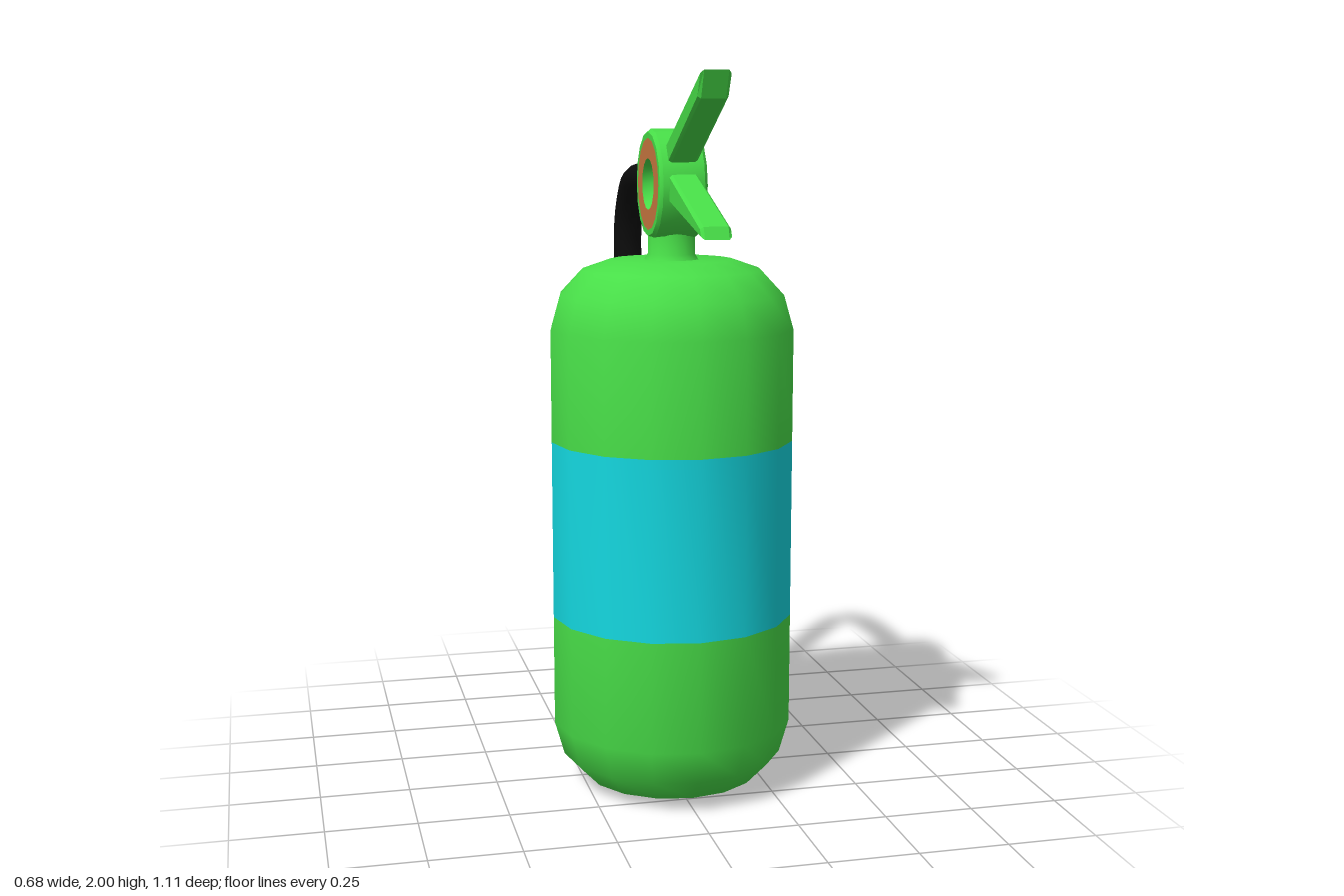
import * as THREE from 'three';
import { toCreasedNormals } from 'three/addons/utils/BufferGeometryUtils.js';

const GREEN = 0x48de48, CYAN = 0x14d8e0, ORANGE = 0xc87840, BLACK = 0x0c0c0c;
const AXIS_Z = 0.065, HEAD_Y = 1.705, SIDES = 16;

function part(name, geometry, color) {
  const mesh = new THREE.Mesh(geometry, new THREE.MeshStandardMaterial({ color }));
  mesh.name = name;
  return mesh;
}

// Turned part from [radius, height] pairs, listed bottom to top
function turned(name, profile, color, crease = 0.75) {
  const points = profile.map(([r, y]) => new THREE.Vector2(r, y));
  return part(name, toCreasedNormals(new THREE.LatheGeometry(points, SIDES), crease), color);
}

// Flat lever with small bevels, outlined in the z-y plane
function lever(name, outline) {
  const bevel = 0.008, width = 0.08;
  const shape = new THREE.Shape(outline.map(([z, y]) => new THREE.Vector2(z, y)));
  const geometry = new THREE.ExtrudeGeometry(shape, {
    depth: width - 2 * bevel, bevelThickness: bevel, bevelSize: bevel,
    bevelOffset: -bevel, bevelSegments: 1,
  });
  geometry.translate(0, 0, bevel - width / 2).rotateY(-Math.PI / 2);
  return part(name, geometry, GREEN);
}

export function createModel() {
  const model = new THREE.Group();
  model.name = 'fireExtinguisher';

  // Tank: rounded ends and a coloured band
  const tank = new THREE.Group();
  tank.name = 'tank';
  tank.position.z = AXIS_Z;
  tank.add(
    turned('tankBottom', [[0, 0], [0.17, 0], [0.25, 0.028], [0.313, 0.095], [0.34, 0.19], [0.34, 0.5]], GREEN),
    turned('tankBand', [[0.34, 0.5], [0.34, 1]], CYAN),
    turned('tankTop', [[0.34, 1], [0.34, 1.31], [0.313, 1.405], [0.25, 1.472], [0.17, 1.5], [0, 1.5]], GREEN),
    turned('neck', [[0.078, 1.495], [0.066, 1.515], [0.066, 1.6]], GREEN),
  );
  model.add(tank);

  // Valve head: drum lying across x, with a ring and a recess on both sides
  const head = new THREE.Group();
  head.name = 'valveHead';
  head.position.set(0, HEAD_Y, AXIS_Z);
  head.rotation.z = -Math.PI / 2;
  const rim = [[0.125, -0.066], [0.141, -0.066], [0.15, -0.057], [0.15, 0.057], [0.141, 0.066], [0.125, 0.066]];
  head.add(turned('headRim', rim, GREEN));
  for (const side of [-1, 1]) {
    const face = new THREE.Group();
    face.name = side < 0 ? 'rightFace' : 'leftFace';
    if (side < 0) face.rotation.x = Math.PI;
    face.add(
      turned('faceRing', [[0.125, 0.066], [0.07, 0.066]], ORANGE),
      turned('faceRecess', [[0.07, 0.066], [0.064, 0.035], [0, 0.035]], GREEN),
    );
    head.add(face);
  }
  model.add(head);

  // Two levers spreading towards the front
  model.add(
    lever('upperLever', [[0.14, 1.735], [0.51, 1.93], [0.54, 2], [0.14, 1.803]]),
    lever('lowerLever', [[0.16, 1.668], [0.555, 1.585], [0.54, 1.617], [0.16, 1.752]]),
  );

  // Hose: leaves the back of the head, bends over and hangs down
  const path = [
    [1.713, -0.06], [1.713, -0.18], [1.713, -0.285], [1.688, -0.412], [1.61, -0.485], [1.508, -0.511],
    [1.4, -0.491], [1.2, -0.435], [1, -0.379], [0.8, -0.323], [0.7, -0.315], [0.55, -0.315], [0.375, -0.315],
  ].map(([y, z]) => new THREE.Vector3(0, y, z));
  model.add(part('hose', new THREE.TubeGeometry(new THREE.CatmullRomCurve3(path), 48, 0.043, 12), BLACK));

  const nozzle = turned('nozzle', [[0, 0.365], [0.07, 0.365], [0.07, 0.397], [0, 0.397]], BLACK);
  nozzle.position.z = -0.32;
  model.add(nozzle);

  return model;
}
